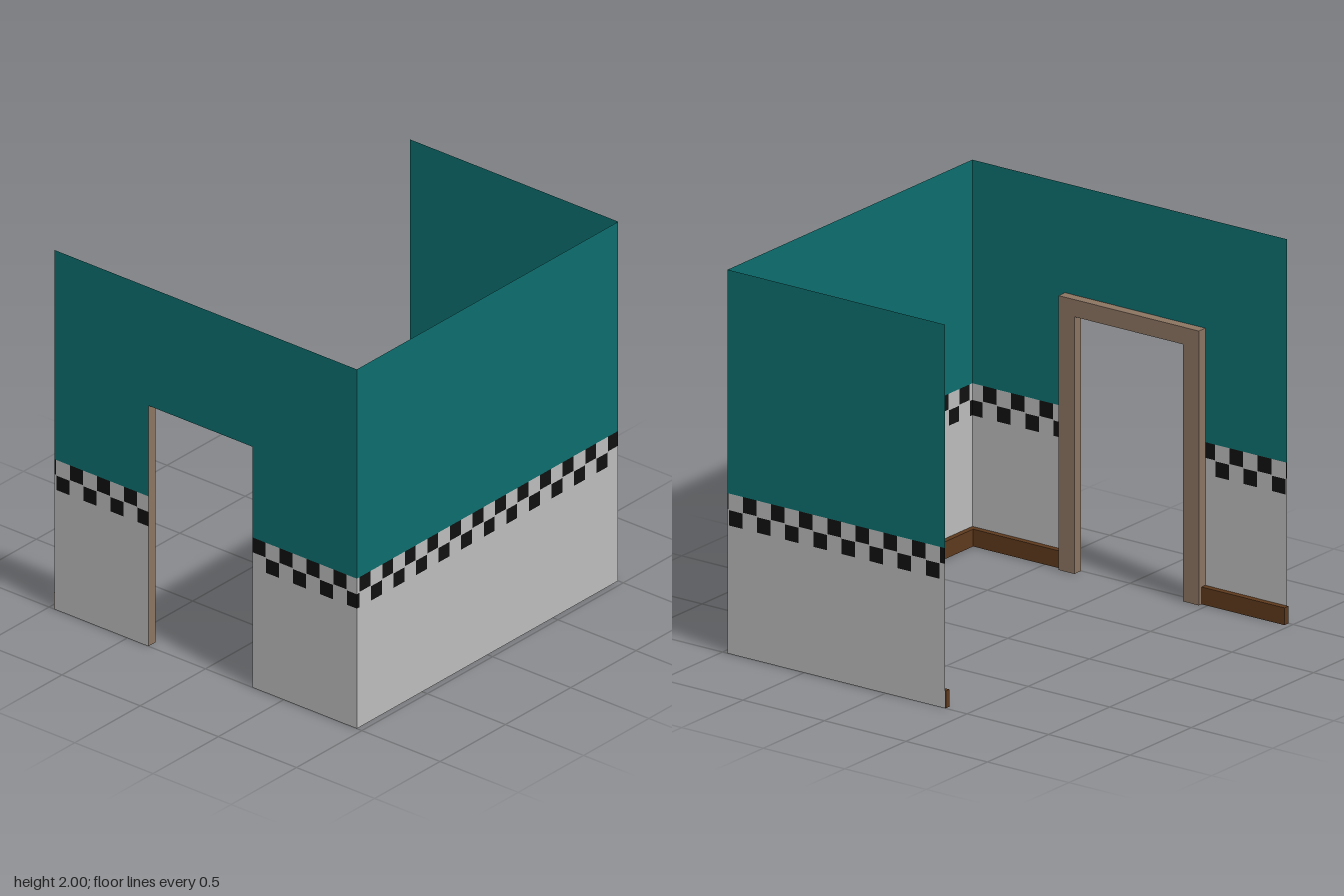
import * as THREE from 'three';
import { mergeGeometries } from 'three/addons/utils/BufferGeometryUtils.js';

const material = (name, color, side = THREE.FrontSide) => {
  const m = new THREE.MeshStandardMaterial({ color, side });
  m.name = name;
  return m;
};

export function createModel() {
  const teal = material('teal paint', 0x0d6e6e, THREE.DoubleSide);
  const grey = material('grey paint', 0xbcbcbc, THREE.DoubleSide);
  const black = material('black tile', 0x101010, THREE.DoubleSide);
  const darkWood = material('dark wood', 0x5d391d);
  const paleWood = material('pale wood', 0x8b7461);

  const model = new THREE.Group();
  model.name = 'roomCorner';

  const H = 2, DADO = 0.835, PITCH = 0.1726, TILE = 0.083;
  const DOOR = { left: -0.365, right: 0.3, top: 1.34, trim: 0.098 };

  const rect = (u0, u1, y0, y1) =>
    new THREE.PlaneGeometry(u1 - u0, y1 - y0).translate((u0 + u1) / 2, (y0 + y1) / 2, 0);

  // Flat wall from u0 to u1: teal above, grey below, two staggered rows of black tiles.
  // phase is where one of the upper tiles starts.
  function wall(name, u0, u1, phase) {
    const group = new THREE.Group();
    group.name = name;
    const greys = [rect(u0, u1, 0, 0.668), rect(u0, u1, 0.748, 0.753)];
    const blacks = [];
    const rows = [[0.753, DADO, phase], [0.668, 0.748, phase + PITCH / 2]];
    for (const [y0, y1, start] of rows) {
      let cursor = u0;
      const first = start - Math.ceil((start - u0) / PITCH + 1) * PITCH;
      for (let s = first; s < u1; s += PITCH) {
        const a = Math.max(s, u0), b = Math.min(s + TILE, u1);
        if (b - a < 0.002) continue;
        if (a > cursor) greys.push(rect(cursor, a, y0, y1));
        blacks.push(rect(a, b, y0, y1));
        cursor = b;
      }
      if (cursor < u1) greys.push(rect(cursor, u1, y0, y1));
    }
    const add = (part, geometry, mat) => {
      const mesh = new THREE.Mesh(geometry, mat);
      mesh.name = part;
      group.add(mesh);
    };
    add('upperPaint', rect(u0, u1, DADO, H), teal);
    add('lowerPaint', mergeGeometries(greys), grey);
    add('checkerTiles', mergeGeometries(blacks), black);
    model.add(group);
    return group;
  }

  // Walls
  wall('frontWallRightPart', -0.964, DOOR.left, -0.866).position.z = 1;
  wall('frontWallLeftPart', DOOR.right, 0.968, 0.301).position.z = 1;
  wall('backWall', -0.364, 0.968, -0.244).position.z = -1;
  const side = wall('sideWall', -1, 1, 0.895);
  side.rotation.y = -Math.PI / 2;
  side.position.x = 0.968;

  const lintel = new THREE.Mesh(rect(DOOR.left, DOOR.right, DOOR.top, H), teal);
  lintel.name = 'wallOverDoor';
  lintel.position.z = 1;
  model.add(lintel);

  // Skirting boards along the inside of the walls
  function skirting(name, x0, x1, z0, z1) {
    const mesh = new THREE.Mesh(new THREE.BoxGeometry(x1 - x0, 0.09, z1 - z0), darkWood);
    mesh.name = name;
    mesh.position.set((x0 + x1) / 2, 0.045, (z0 + z1) / 2);
    model.add(mesh);
  }
  const outerLeft = DOOR.left - DOOR.trim, outerRight = DOOR.right + DOOR.trim;
  skirting('frontSkirtingRightPart', -0.972, outerLeft, 0.967, 0.998);
  skirting('frontSkirtingLeftPart', outerRight, 0.938, 0.967, 0.998);
  skirting('backSkirting', -0.368, 0.938, -0.998, -0.967);
  skirting('sideSkirting', 0.938, 0.966, -0.998, 0.998);

  // Door frame on the inside of the front wall
  const outerTop = DOOR.top + DOOR.trim - 0.008;
  const shape = new THREE.Shape([
    [outerLeft, 0], [DOOR.left, 0], [DOOR.left, DOOR.top], [DOOR.right, DOOR.top],
    [DOOR.right, 0], [outerRight, 0], [outerRight, outerTop], [outerLeft, outerTop],
  ].map(([x, y]) => new THREE.Vector2(x, y)));
  const frame = new THREE.Mesh(
    new THREE.ExtrudeGeometry(shape, { depth: 0.053, bevelEnabled: false }), paleWood);
  frame.name = 'doorFrame';
  frame.position.z = 0.945;
  model.add(frame);

  return model;
}
